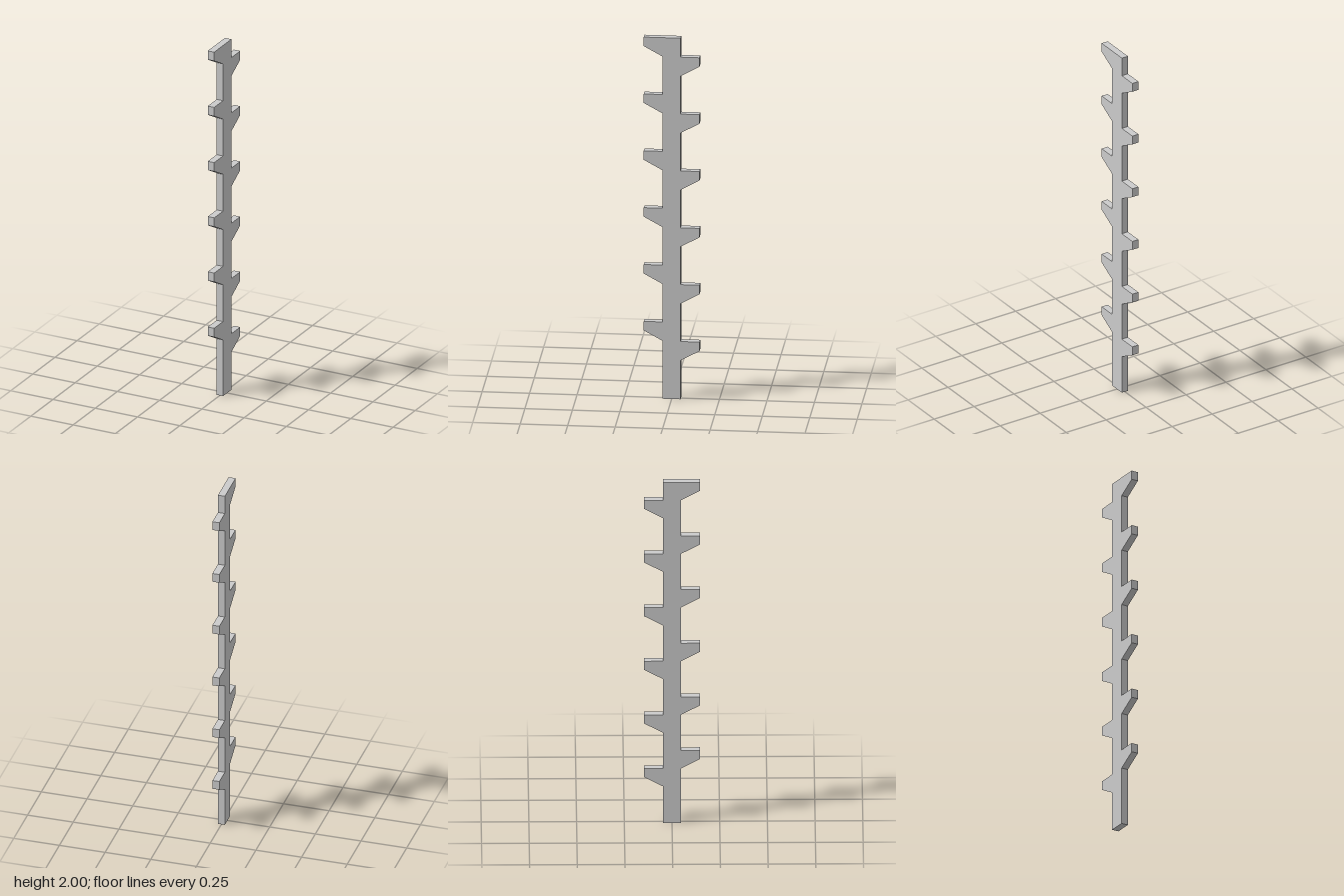
import * as THREE from 'three';

const THICKNESS = 0.038;   // along x
const POST = 0.047;        // half depth of the post
const TIP = 0.147;         // reach of each tooth
const HEIGHT = 2;
const TEETH = 6;           // per side
const STEP = 0.315;        // spacing of teeth on one side
const STAGGER = 0.105;     // back teeth sit this far below the front ones
const TIP_DROP = 0.05;     // height of a tooth's end face
const ROOT_DROP = 0.105;   // height of a tooth where it meets the post

export function createModel() {
  const group = new THREE.Group();
  group.name = 'toothedPost';

  // Side outline: depth runs along x here, height along y
  const points = [[-POST, 0], [POST, 0]];

  // Front teeth, going up; the highest is flush with the top of the post
  for (let i = TEETH - 1; i >= 0; i--) {
    const top = HEIGHT - i * STEP;
    points.push([POST, top - ROOT_DROP], [TIP, top - TIP_DROP], [TIP, top]);
    if (i > 0) points.push([POST, top]);
  }
  points.push([-POST, HEIGHT]);

  // Back teeth, going down
  for (let i = 0; i < TEETH; i++) {
    const top = HEIGHT - STAGGER - i * STEP;
    points.push([-POST, top], [-TIP, top], [-TIP, top - TIP_DROP], [-POST, top - ROOT_DROP]);
  }

  // Flat plate cut to the outline, turned so its depth lies along z
  const shape = new THREE.Shape(points.map(([z, y]) => new THREE.Vector2(z, y)));
  const geometry = new THREE.ExtrudeGeometry(shape, { depth: THICKNESS, bevelEnabled: false });
  geometry.translate(0, 0, -THICKNESS / 2);
  geometry.rotateY(-Math.PI / 2);

  const material = new THREE.MeshStandardMaterial({ color: 0xcccccc, flatShading: true });
  const plate = new THREE.Mesh(geometry, material);
  plate.name = 'postWithTeeth';
  group.add(plate);
  return group;
}
